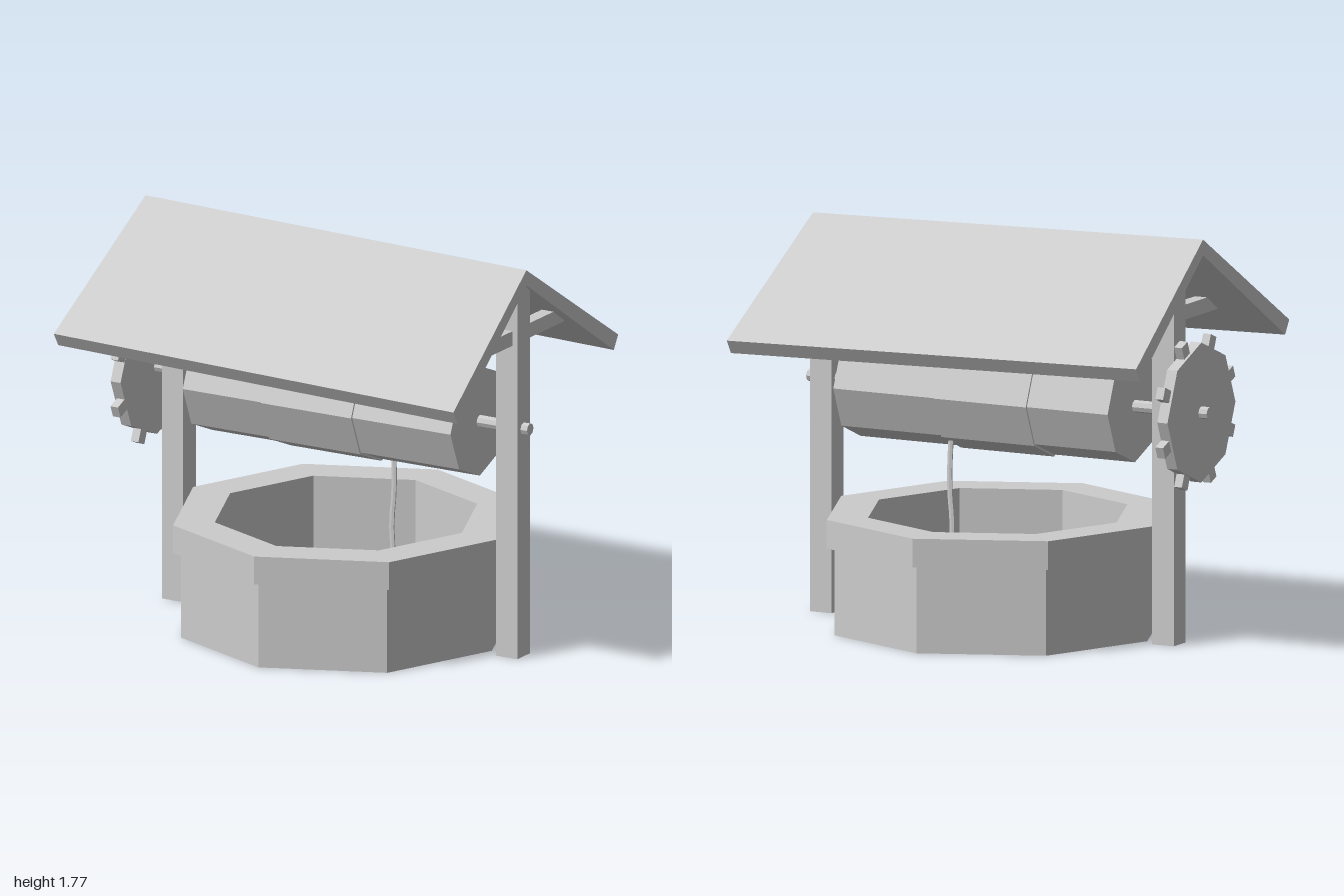
import * as THREE from 'three';

const material = new THREE.MeshStandardMaterial({ color: 0xcccccc, flatShading: true });
const openMaterial = new THREE.MeshStandardMaterial({ color: 0xcccccc, flatShading: true, side: THREE.DoubleSide });

const CENTRE = 0.05; // the well and its frame sit slightly off the roof's middle
const AXLE_Y = 1.02;

function part(name, geometry, mat = material) {
  const mesh = new THREE.Mesh(geometry, mat);
  mesh.name = name;
  return mesh;
}

// Extrudes a left-right symmetric (z, y) outline along x, from x0 to x1.
function extrudeX(points, x0, x1) {
  const shape = new THREE.Shape(points.map(([z, y]) => new THREE.Vector2(z, y)));
  return new THREE.ExtrudeGeometry(shape, { depth: x1 - x0, bevelEnabled: false })
    .rotateY(Math.PI / 2)
    .translate(x0, 0, 0);
}

// Eight-sided cylinder lying along x at axle height.
function rodX(radius, x0, x1, sides = 8) {
  return new THREE.CylinderGeometry(radius, radius, x1 - x0, sides)
    .rotateZ(Math.PI / 2)
    .translate((x0 + x1) / 2, AXLE_Y, 0);
}

function makeWell() {
  const profile = [[0.73, 0], [0.73, 0.38], [0.765, 0.38], [0.765, 0.505], [0.58, 0.505], [0.58, 0.01], [0, 0.01]];
  const geometry = new THREE.LatheGeometry(profile.map(([r, y]) => new THREE.Vector2(r, y)), 8);
  return part('wellWall', geometry.translate(CENTRE, 0, 0), openMaterial);
}

function makeRoof() {
  const outline = [[0, 1.752], [-0.687, 1.298], [-0.65, 1.238], [0, 1.684], [0.65, 1.238], [0.687, 1.298]];
  const geometry = extrudeX(outline, -1, 1);
  // Ridge is shorter than the eaves, and the whole roof dips towards +x.
  const pos = geometry.attributes.position;
  for (let i = 0; i < pos.count; i++) {
    const spread = Math.min(1, Math.abs(pos.getZ(i)) / 0.65);
    const x = pos.getX(i) * (0.953 + 0.047 * spread);
    pos.setX(i, x);
    pos.setY(i, pos.getY(i) - 0.0235 * x);
  }
  geometry.computeVertexNormals();
  return part('roof', geometry);
}

function makeFrame() {
  const frame = new THREE.Group();
  frame.name = 'frame';
  const post = [[-0.053, 0], [0.053, 0], [0.053, 1.628], [0, 1.665], [-0.053, 1.628]];
  const beam = [[-0.385, 1.4], [0.385, 1.4], [0.29, 1.465], [-0.29, 1.465]];
  for (const side of [-1, 1]) {
    const x = CENTRE + side * 0.836;
    frame.add(part('post', extrudeX(post, x - 0.053, x + 0.053)));
    frame.add(part('crossBeam', extrudeX(beam, x - 0.03, x + 0.03)));
  }
  return frame;
}

function makeWinch() {
  const winch = new THREE.Group();
  winch.name = 'winch';
  winch.add(part('axle', rodX(0.027, -0.985, 0.972)));
  winch.add(part('drum', rodX(0.245, -0.62, 0.72)));
  winch.add(part('drumSleeve', rodX(0.254, -0.225, 0.228)));
  // Cog wheel with one tooth in the middle of each flat side
  winch.add(part('cogWheel', rodX(0.305, -0.945, -0.895)));
  for (let i = 0; i < 8; i++) {
    const tooth = new THREE.BoxGeometry(0.038, 0.08, 0.054)
      .translate(-0.915, 0.3, 0)
      .rotateX((i + 0.5) * Math.PI / 4)
      .translate(0, AXLE_Y, 0);
    winch.add(part('cogTooth', tooth));
  }
  return winch;
}

// Gently wavering flat rope hanging behind the axle
function makeRope() {
  const path = new THREE.CatmullRomCurve3([
    [0.212, 0.82], [0.218, 0.7], [0.216, 0.58], [0.206, 0.46], [0.212, 0.32], [0.216, 0.18], [0.21, 0.05],
  ].map(([x, y]) => new THREE.Vector3(x, y, 0)));
  const geometry = new THREE.TubeGeometry(path, 12, 0.013, 6, false)
    .scale(1, 1, 0.5)
    .translate(0, 0, -0.122);
  return part('rope', geometry, openMaterial);
}

export function createModel() {
  const model = new THREE.Group();
  model.name = 'wishingWell';
  model.add(makeWell(), makeFrame(), makeRoof(), makeWinch(), makeRope());
  return model;
}
